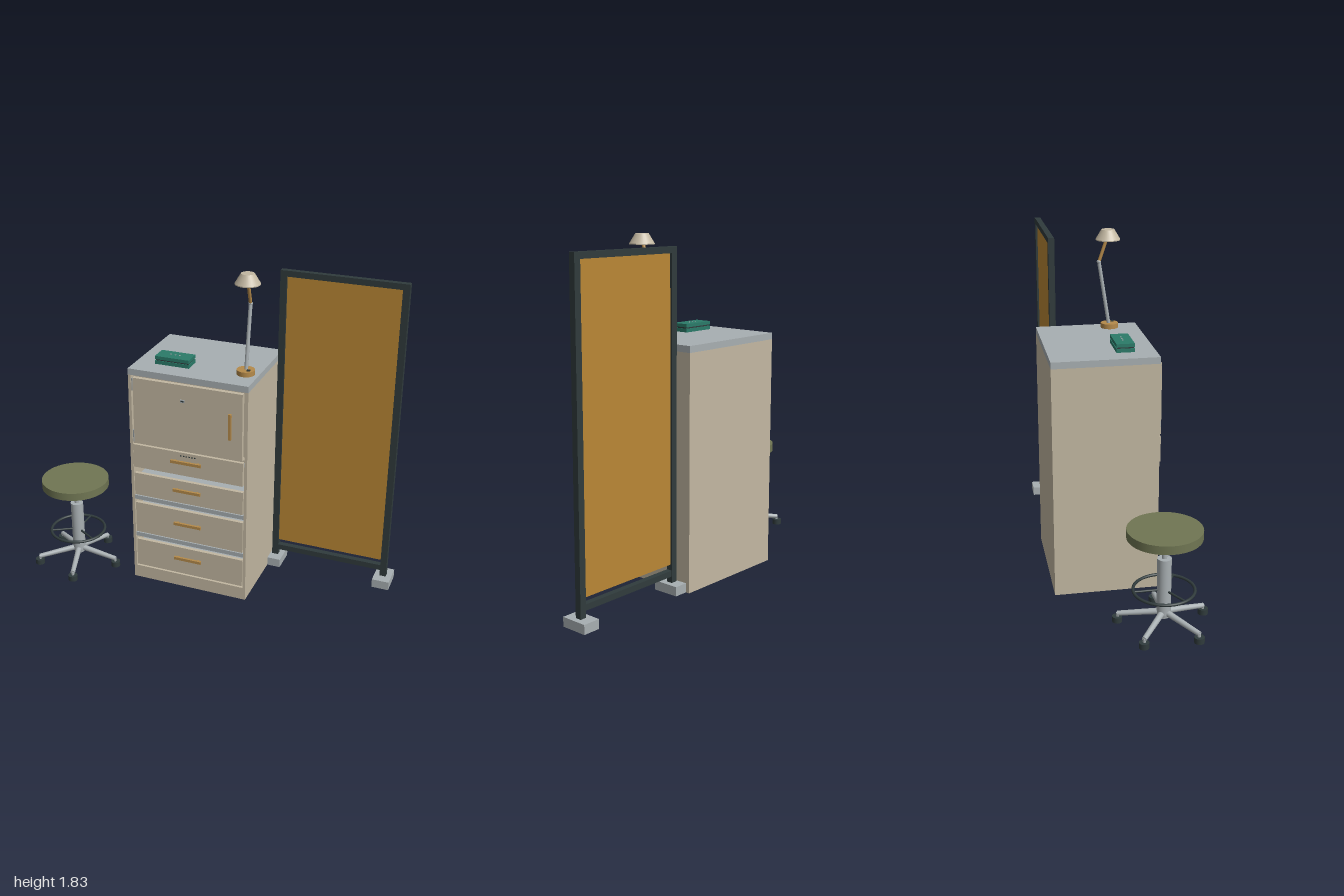
import * as THREE from 'three';

const mat = (name, color, side = THREE.FrontSide) => {
  const m = new THREE.MeshStandardMaterial({ color, side });
  m.name = name;
  return m;
};

export function createModel() {
  const cream = mat('cream enamel', 0xc3b8a2, THREE.DoubleSide);
  const steel = mat('brushed steel', 0xa8afb2);
  const charcoal = mat('charcoal', 0x303b3c);
  const fabric = mat('ochre fabric', 0xba8735);
  const brass = mat('brass', 0xb58a4a);
  const olive = mat('olive vinyl', 0x707653);
  const teal = mat('teal', 0x2b7b69);

  const model = new THREE.Group();
  model.name = 'workshopCorner';
  const group = (name) => {
    const g = new THREE.Group();
    g.name = name;
    model.add(g);
    return g;
  };
  const add = (parent, name, geo, material, x = 0, y = 0, z = 0) => {
    const m = new THREE.Mesh(geo, material);
    m.name = name;
    m.position.set(x, y, z);
    parent.add(m);
    return m;
  };
  // Box given by its lower and upper limits on each axis
  const box = (parent, name, material, x0, x1, y0, y1, z0, z1) =>
    add(parent, name, new THREE.BoxGeometry(x1 - x0, y1 - y0, z1 - z0), material,
      (x0 + x1) / 2, (y0 + y1) / 2, (z0 + z1) / 2);
  // Upright cylinder given by its base and top heights
  const disc = (parent, name, material, rTop, rBottom, y0, y1, x = 0, z = 0, sides = 32) =>
    add(parent, name, new THREE.CylinderGeometry(rTop, rBottom, y1 - y0, sides), material, x, (y0 + y1) / 2, z);
  // Round rod between two points
  const rod = (parent, name, material, a, b, r, rEnd = r) => {
    const p = new THREE.Vector3(...a), q = new THREE.Vector3(...b);
    const d = q.clone().sub(p);
    const m = add(parent, name, new THREE.CylinderGeometry(rEnd, r, d.length(), 14), material);
    m.position.copy(p).add(q).multiplyScalar(0.5);
    m.quaternion.setFromUnitVectors(new THREE.Vector3(0, 1, 0), d.normalize());
    return m;
  };

  // Cabinet shell
  const cabinet = group('cabinet');
  const L = -0.4, R = 0.275, B = -0.378, F = 0.176;
  box(cabinet, 'leftSide', cream, R - 0.016, R, 0, 1.255, B, F);
  box(cabinet, 'rightSide', cream, L, L + 0.016, 0, 1.255, B, F);
  box(cabinet, 'back', cream, L + 0.016, R - 0.016, 0, 1.255, B, B + 0.016);
  box(cabinet, 'plinth', cream, L + 0.016, R - 0.016, 0, 0.075, B + 0.016, F);
  box(cabinet, 'worktop', steel, L, R, 1.255, 1.29, B, F);
  box(cabinet, 'doorShelf', cream, L + 0.016, R - 0.016, 0.85, 0.864, B + 0.016, F - 0.012);
  box(cabinet, 'compartmentLiner', cream, L + 0.016, R - 0.016, 0.864, 1.255, 0.12, 0.13);
  for (const y of [0.27, 0.508]) {
    box(cabinet, 'drawerRail', steel, L + 0.016, R - 0.016, y, y + 0.024, B + 0.016, F - 0.004);
  }

  // Drawers: bottom, top, front plane, handle height, handle half width
  const drawers = [
    [0.085, 0.252, 0.176, 0.19, 0.08],
    [0.302, 0.49, 0.176, 0.413, 0.08],
    [0.542, 0.677, 0.18, 0.625, 0.08],
    [0.718, 0.855, 0.187, 0.803, 0.087],
  ];
  for (const [y0, y1, z, hy, hw] of drawers) {
    const drawer = new THREE.Group();
    drawer.name = 'drawer';
    cabinet.add(drawer);
    box(drawer, 'drawerFront', cream, L + 0.022, R - 0.02, y0, y1, z - 0.02, z);
    box(drawer, 'drawerTray', steel, L + 0.03, R - 0.03, y0 + 0.01, y1 - 0.03, B + 0.03, z - 0.02);
    box(drawer, 'drawerPull', brass, -0.0625 - hw, -0.0625 + hw, hy - 0.008, hy + 0.008, z + 0.01, z + 0.023);
    for (const s of [-1, 1]) {
      const x = -0.0625 + s * (hw - 0.02);
      box(drawer, 'pullMount', brass, x - 0.006, x + 0.006, hy - 0.005, hy + 0.005, z, z + 0.01);
    }
  }
  // Small label slots above the upper pull
  for (let i = 0; i < 6; i++) {
    const x = -0.1 + i * 0.016;
    box(cabinet, 'labelMark', charcoal, x, x + 0.008, 0.833, 0.839, 0.186, 0.189);
  }

  // Door with hinges, pull and keyhole
  const door = group('cabinetDoor');
  box(door, 'doorPanel', cream, -0.367, 0.25, 0.866, 1.247, 0.166, 0.19);
  for (const y of [0.905, 1.205]) {
    disc(door, 'hinge', steel, 0.006, 0.006, y - 0.035, y + 0.035, -0.373, 0.178, 12);
  }
  box(door, 'doorPull', brass, 0.18, 0.195, 0.99, 1.135, 0.2, 0.214);
  for (const y of [1.01, 1.115]) box(door, 'pullMount', brass, 0.183, 0.192, y - 0.006, y + 0.006, 0.19, 0.2);
  box(door, 'lockPlate', steel, -0.095, -0.07, 1.15, 1.166, 0.19, 0.194);
  box(door, 'keyhole', charcoal, -0.09, -0.075, 1.155, 1.161, 0.193, 0.196);

  // Teal storage case on the worktop
  const caseBox = group('storageCase');
  box(caseBox, 'caseBase', teal, -0.292, -0.098, 1.29, 1.31, -0.03, 0.065);
  box(caseBox, 'caseSeam', charcoal, -0.288, -0.102, 1.31, 1.317, -0.026, 0.061);
  box(caseBox, 'caseLid', teal, -0.292, -0.098, 1.317, 1.335, -0.03, 0.065);
  for (const x of [-0.22, -0.195, -0.17]) {
    box(caseBox, 'lidStud', steel, x - 0.004, x + 0.004, 1.335, 1.338, 0.012, 0.018);
  }

  // Desk lamp
  const lamp = group('lamp');
  const lx = 0.204;
  disc(lamp, 'lampBase', brass, 0.048, 0.048, 1.29, 1.316, lx, 0.02);
  box(lamp, 'lampSwitch', charcoal, lx + 0.012, lx + 0.03, 1.316, 1.322, 0.03, 0.045);
  rod(lamp, 'lowerArm', steel, [lx, 1.314, 0.015], [lx, 1.655, -0.037], 0.01);
  add(lamp, 'elbow', new THREE.SphereGeometry(0.012, 14, 10), steel, lx, 1.655, -0.037);
  rod(lamp, 'upperArm', brass, [lx, 1.655, -0.037], [lx, 1.785, 0.008], 0.009);
  const shade = [[0.066, 1.772], [0.066, 1.777], [0.035, 1.828], [0, 1.828]]
    .map(([r, y]) => new THREE.Vector2(r, y));
  // Separate bands keep the rims crisp
  for (let i = 0; i < 3; i++) {
    add(lamp, 'lampShade', new THREE.LatheGeometry([shade[i], shade[i + 1]], 28), cream, lx, 0, 0.012);
  }

  // Folding screen
  const screen = group('privacyScreen');
  const sz = -0.283;
  for (const x of [0.303, 0.947]) {
    box(screen, 'screenPost', charcoal, x - 0.018, x + 0.018, 0.05, 1.775, sz - 0.017, sz + 0.017);
    box(screen, 'screenFoot', steel, x - 0.048, x + 0.048, 0, 0.05, sz - 0.073, sz + 0.073);
  }
  for (const y of [0.085, 1.743]) {
    box(screen, 'screenRail', charcoal, 0.321, 0.929, y, y + 0.032, sz - 0.016, sz + 0.016);
  }
  box(screen, 'screenPanel', fabric, 0.321, 0.929, 0.147, 1.743, sz - 0.006, sz + 0.006);

  // Wheeled stool
  const stool = group('stool');
  stool.position.set(-0.785, 0, 0.123);
  disc(stool, 'seatCushion', olive, 0.19, 0.19, 0.49, 0.535, 0, 0, 48);
  disc(stool, 'seatPlate', charcoal, 0.178, 0.17, 0.48, 0.49, 0, 0, 48);
  disc(stool, 'gasLift', steel, 0.013, 0.013, 0.37, 0.482);
  disc(stool, 'column', steel, 0.036, 0.036, 0.07, 0.375);
  disc(stool, 'hub', steel, 0.036, 0.03, 0.05, 0.09);
  add(stool, 'footRing', new THREE.TorusGeometry(0.155, 0.008, 10, 48), charcoal, 0, 0.2, 0)
    .rotation.x = Math.PI / 2;
  for (let i = 0; i < 3; i++) {
    const a = i * Math.PI * 2 / 3 + Math.PI / 6;
    rod(stool, 'ringSpoke', charcoal, [0, 0.2, 0], [Math.cos(a) * 0.155, 0.2, Math.sin(a) * 0.155], 0.006);
  }
  for (let i = 0; i < 5; i++) {
    const a = i * Math.PI * 2 / 5, c = Math.cos(a), s = Math.sin(a);
    rod(stool, 'stoolLeg', steel, [0, 0.08, 0], [c * 0.235, 0.046, s * 0.235], 0.017, 0.013);
    disc(stool, 'casterStem', steel, 0.008, 0.008, 0.025, 0.05, c * 0.233, s * 0.233, 10);
    disc(stool, 'caster', charcoal, 0.026, 0.026, 0, 0.03, c * 0.235, s * 0.235, 18);
  }

  return model;
}
